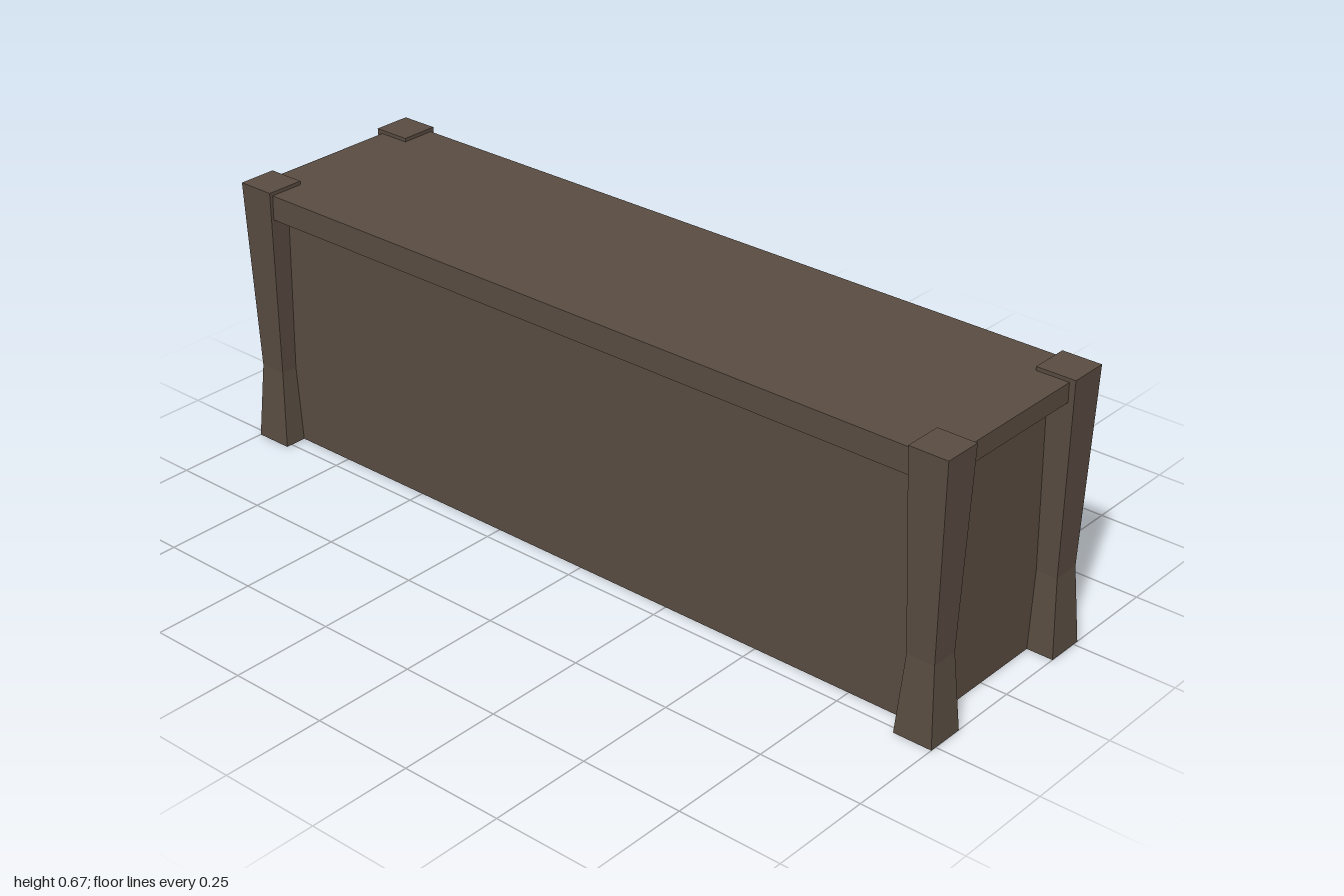
import * as THREE from 'three';

const wood = new THREE.MeshStandardMaterial({ color: 0x594c41, flatShading: true });
wood.name = 'dark wood';

function add(parent, name, geometry) {
  const mesh = new THREE.Mesh(geometry, wood);
  mesh.name = name;
  parent.add(mesh);
  return mesh;
}

// Box given by its minimum and maximum corners
function boxBetween(parent, name, [x0, y0, z0], [x1, y1, z1]) {
  const mesh = add(parent, name, new THREE.BoxGeometry(x1 - x0, y1 - y0, z1 - z0));
  mesh.position.set((x0 + x1) / 2, (y0 + y1) / 2, (z0 + z1) / 2);
  return mesh;
}

// Raised panel surrounded by a V groove, lofted from nested rectangles, facing +z
function panelGeometry(w, h, steps) {
  const pos = [];
  const index = [];
  for (const [inset, depth] of steps) {
    const a = w / 2 - inset, b = h / 2 - inset;
    pos.push(-a, -b, depth, a, -b, depth, a, b, depth, -a, b, depth);
  }
  for (let s = 0; s < steps.length - 1; s++) {
    for (let i = 0; i < 4; i++) {
      const j = (i + 1) % 4, o = s * 4, n = o + 4;
      index.push(o + i, o + j, n + j, o + i, n + j, n + i);
    }
  }
  const c = (steps.length - 1) * 4;
  index.push(c, c + 1, c + 2, c, c + 2, c + 3);
  const g = new THREE.BufferGeometry();
  g.setAttribute('position', new THREE.Float32BufferAttribute(pos, 3));
  g.setIndex(index);
  const flat = g.toNonIndexed();
  flat.computeVertexNormals();
  return flat;
}

export function createModel() {
  const model = new THREE.Group();
  model.name = 'counter';

  // Carcass and overhanging top
  boxBetween(model, 'body', [-0.21, 0, -0.935], [0.19, 0.62, 0.935]);
  boxBetween(model, 'top', [-0.256, 0.595, -0.93], [0.256, 0.656, 0.93]);
  for (const s of [-1, 1]) {
    const z = [s * 0.925, s * 0.985].sort((a, b) => a - b);
    boxBetween(model, 'endLip', [-0.2, 0.61, z[0]], [0.2, 0.656, z[1]]);
  }

  // Corner posts, square and narrowed at the waist
  const profile = [[0, 0], [0.0475, 0], [0.0345, 0.19], [0.0475, 0.665], [0, 0.665]]
    .map(([half, y]) => new THREE.Vector2(half * Math.SQRT2, y));
  const postGeometry = new THREE.LatheGeometry(profile, 4, Math.PI / 4);
  for (const x of [-0.2175, 0.2175]) {
    for (const z of [-0.9525, 0.9525]) {
      add(model, 'cornerPost', postGeometry).position.set(x, 0, z);
    }
  }

  // Panelled side, drawn facing +z and turned to face +x
  const side = new THREE.Group();
  side.name = 'panelledSide';
  side.rotation.y = Math.PI / 2;
  side.position.x = 0.215;
  model.add(side);

  const w = 0.382, y0 = 0.045, y1 = 0.555;
  const frame = new THREE.Shape([[-0.907, 0], [0.907, 0], [0.907, 0.6], [-0.907, 0.6]]
    .map(([x, y]) => new THREE.Vector2(x, y)));
  const panel = panelGeometry(w, y1 - y0, [[0, 0], [0.02, -0.022], [0.038, 0]]);
  for (let i = 0; i < 4; i++) {
    const cx = (i - 1.5) * 0.477;
    frame.holes.push(new THREE.Path([
      [cx - w / 2, y0], [cx - w / 2, y1], [cx + w / 2, y1], [cx + w / 2, y0],
    ].map(([x, y]) => new THREE.Vector2(x, y))));
    add(side, 'raisedPanel', panel).position.set(cx, (y0 + y1) / 2, 0);
  }
  const frameGeometry = new THREE.ExtrudeGeometry(frame, { depth: 0.025, bevelEnabled: false });
  add(side, 'panelFrame', frameGeometry).position.z = -0.025;

  return model;
}
